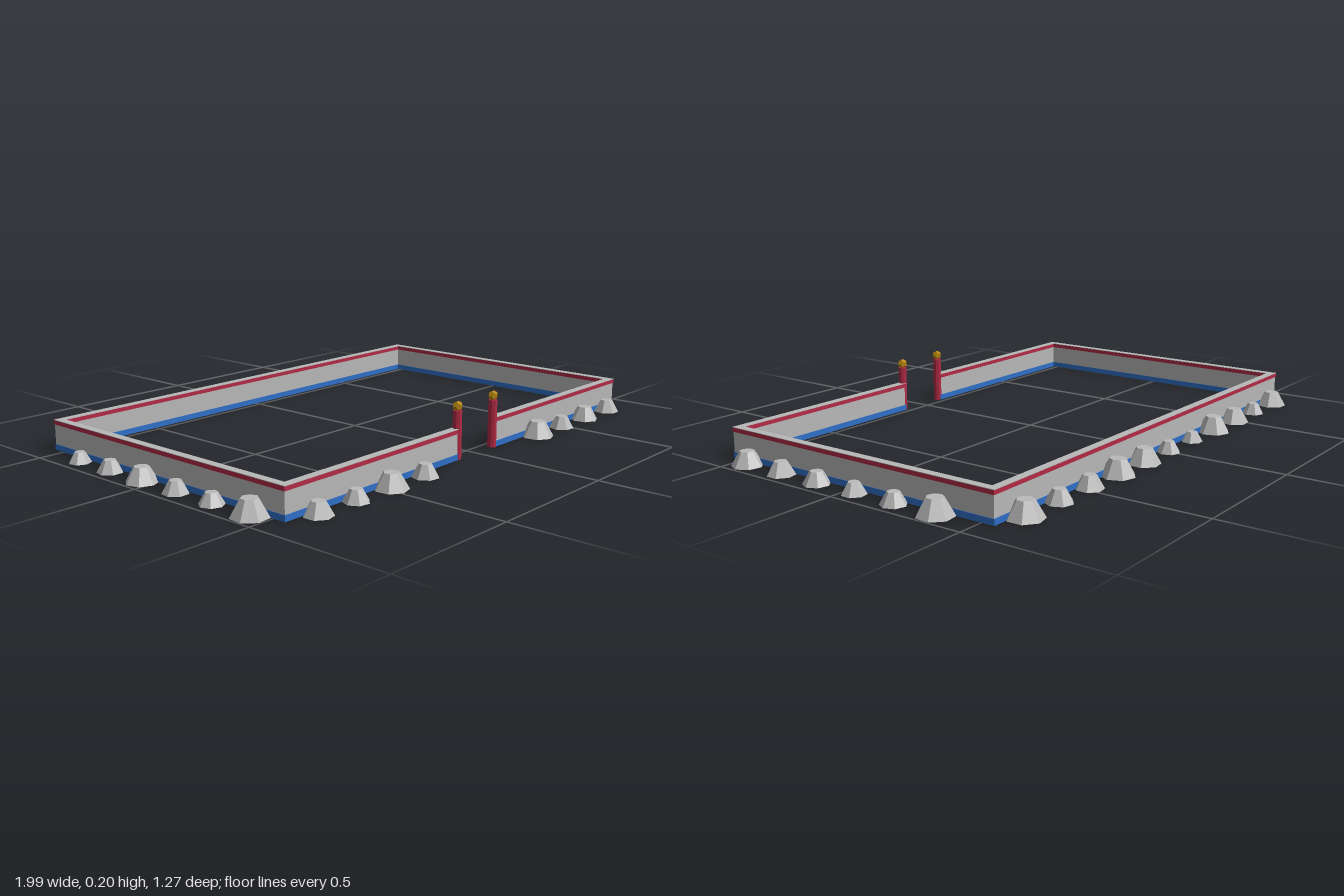
import * as THREE from 'three';

const mat = (name, color, flat = false) => {
  const m = new THREE.MeshStandardMaterial({ color, flatShading: flat });
  m.name = name;
  return m;
};

export function createModel() {
  const group = new THREE.Group();
  const wallGrey = mat('wall grey', 0xb8b8b8);
  const red = mat('red trim', 0xb22a45);
  const blue = mat('blue base', 0x2f6fc8);
  const gold = mat('gold', 0xb8860b, true);
  const rockGrey = mat('rock grey', 0xbababa, true);

  const add = (name, geo, material, x = 0, y = 0, z = 0) => {
    const mesh = new THREE.Mesh(geo, material);
    mesh.name = name;
    mesh.position.set(x, y, z);
    group.add(mesh);
    return mesh;
  };

  // One layer of the enclosure: a rectangular ring with a gateway in the front side
  const W = 0.894, D = 0.532, GATE = 0.1;
  const layer = (name, y0, y1, half, material) => {
    const a = W + half, b = D + half, c = W - half, d = D - half;
    const shape = new THREE.Shape([
      [GATE, -b], [a, -b], [a, b], [-a, b], [-a, -b], [-GATE, -b],
      [-GATE, -d], [-c, -d], [-c, d], [c, d], [c, -d], [GATE, -d],
    ].map(([x, y]) => new THREE.Vector2(x, y)));
    const geo = new THREE.ExtrudeGeometry(shape, { depth: y1 - y0, bevelEnabled: false });
    geo.rotateX(-Math.PI / 2);
    add(name, geo, material, 0, y0, 0);
  };
  layer('baseBand', 0, 0.02, 0.014, blue);
  layer('wall', 0.02, 0.089, 0.012, wallGrey);
  layer('topBand', 0.089, 0.103, 0.014, red);
  layer('wallCap', 0.103, 0.105, 0.014, wallGrey);

  // Gate posts with gold finials
  for (const s of [-1, 1]) {
    const post = new THREE.CylinderGeometry(0.0155, 0.0155, 0.165, 8).toNonIndexed();
    post.rotateY(Math.PI / 8);
    post.computeVertexNormals();
    add('gatePost', post, red, s * GATE, 0.0825, 0.534);
    add('finial', new THREE.DodecahedronGeometry(0.0175), gold, s * GATE, 0.179, 0.534);
  }

  // Rocks around the outside: [position along the wall, radius]
  const sides = {
    back: [[-0.805, 0.055], [-0.645, 0.041], [-0.485, 0.053], [-0.32, 0.06], [-0.163, 0.037],
      [0, 0.041], [0.16, 0.057], [0.32, 0.06], [0.48, 0.047], [0.64, 0.046], [0.805, 0.06]],
    front: [[-0.805, 0.047], [-0.645, 0.043], [-0.485, 0.056], [-0.32, 0.046],
      [0.32, 0.058], [0.48, 0.045], [0.64, 0.051], [0.805, 0.047]],
    right: [[-0.36, 0.038], [-0.2, 0.043], [-0.04, 0.054], [0.12, 0.043], [0.28, 0.041], [0.44, 0.06]],
    left: [[-0.36, 0.06], [-0.2, 0.043], [-0.04, 0.041], [0.12, 0.045], [0.28, 0.047], [0.44, 0.053]],
  };
  const place = {
    back: t => [t, -0.576], front: t => [t, 0.576],
    right: t => [-0.94, t], left: t => [0.94, t],
  };
  let n = 0;
  for (const side in sides) {
    for (const [t, r] of sides[side]) {
      const h = r * 0.95;
      const [x, z] = place[side](t);
      const rock = add(side + 'Rock', new THREE.CylinderGeometry(r * 0.46, r, h, 7), rockGrey, x, h / 2, z);
      rock.rotation.y = n++ * 1.37;
    }
  }
  return group;
}
